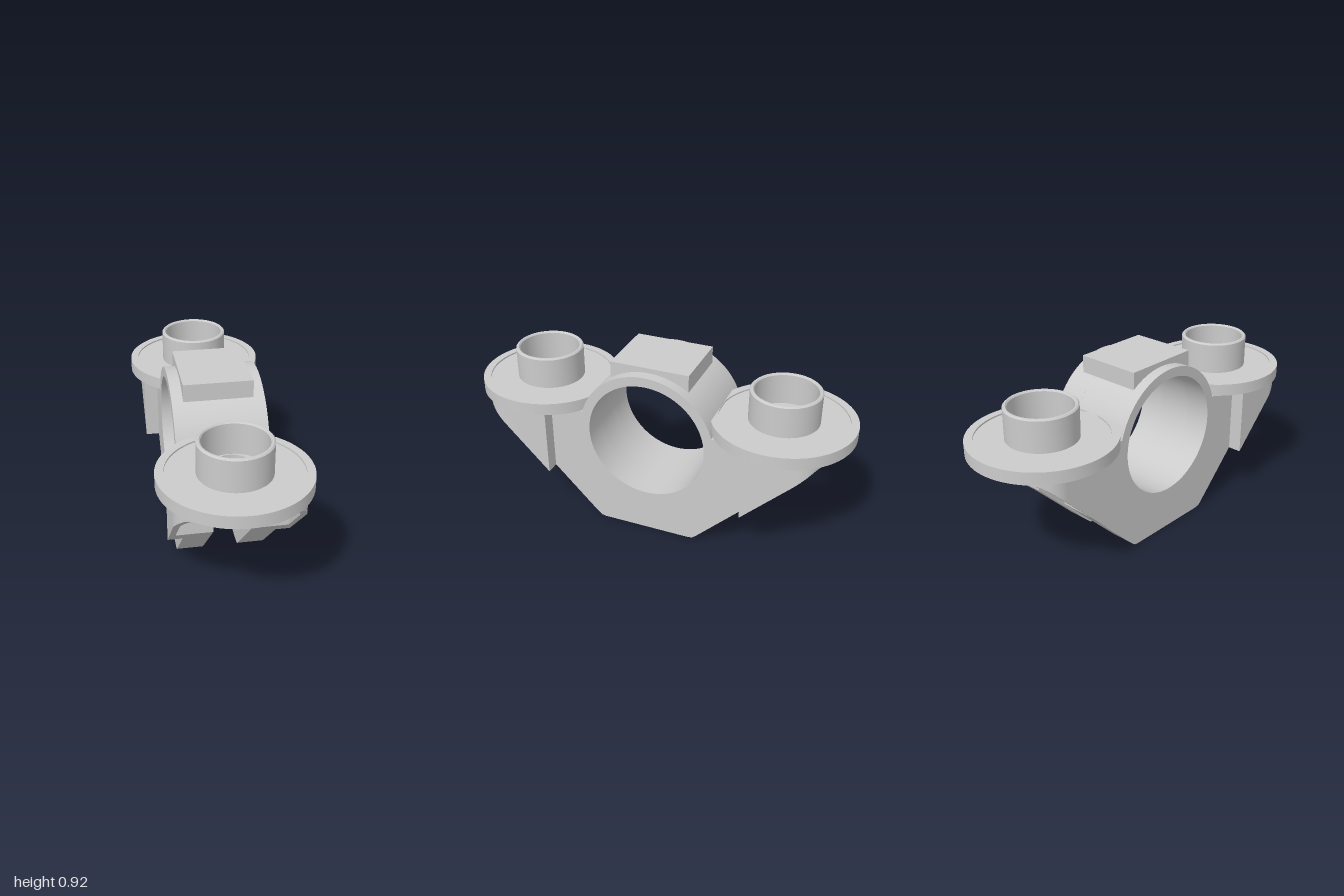
import * as THREE from 'three';
import { toCreasedNormals } from 'three/addons/utils/BufferGeometryUtils.js';

const material = new THREE.MeshStandardMaterial({ color: 0xcccccc });
const AXIS_Y = 0.535, RING = 0.36, BORE = 0.31, DECK = 0.635, PAD_Z = 0.64;

function part(name, geometry, parent) {
  const mesh = new THREE.Mesh(toCreasedNormals(geometry, 0.5), material);
  mesh.name = name;
  parent.add(mesh);
  return mesh;
}

// Side profile (z, y) extruded across x from x0 to x1
function across(shape, x0, x1) {
  const g = new THREE.ExtrudeGeometry(shape, { depth: x1 - x0, bevelEnabled: false, curveSegments: 48 });
  return g.rotateY(Math.PI / 2).translate(x0, 0, 0);
}

// Plan outline (x, z) extruded between heights y0 and y1
function upright(shape, y0, y1) {
  const g = new THREE.ExtrudeGeometry(shape, { depth: y1 - y0, bevelEnabled: false, curveSegments: 32 });
  return g.rotateX(Math.PI / 2).translate(0, y1, 0);
}

const circle = (r, y = 0) => new THREE.Path().absarc(0, y, r, 0, Math.PI * 2, true);

// Cheek plate: sloped foot below, ring outline above, bore through
function cheekShape() {
  const s = new THREE.Shape();
  const half = [[0.24, 0], [0.262, 0.005], [0.28, 0.02], [0.605, 0.345], [0.605, DECK]];
  s.moveTo(-0.24, 0);
  half.forEach(([z, y]) => s.lineTo(z, y));
  const a = Math.asin((DECK - AXIS_Y) / RING);
  s.absarc(0, AXIS_Y, RING, a, Math.PI - a, false);
  half.slice().reverse().forEach(([z, y]) => s.lineTo(-z, y));
  s.holes.push(circle(BORE, AXIS_Y));
  return s;
}

// Top pad whose underside follows the ring
function padShape() {
  const r = 0.345, w = 0.205, a = Math.acos(w / r);
  const s = new THREE.Shape();
  s.moveTo(w, 0.92);
  s.lineTo(-w, 0.92);
  s.absarc(0, AXIS_Y, r, Math.PI - a, a, true);
  return s;
}

// Shoulder and thin curved wall under a flange, cut off along the foot slope
function wallGeometry(side) {
  const plan = new THREE.Shape();
  plan.moveTo(0.2, 0.525);
  plan.lineTo(0.3, 0.525);
  plan.absarc(0.18, 0.77, 0.12, 0, Math.PI / 2, false);
  plan.lineTo(0.12, 0.89);
  plan.lineTo(0.12, 0.86);
  plan.absarc(0.18, 0.77, 0.09, Math.PI / 2, 0, true);
  plan.lineTo(0.27, 0.605);
  plan.lineTo(0.2, 0.605);
  const points = plan.getPoints(16).map((p) => new THREE.Vector2(p.x * side, p.y));
  const g = upright(new THREE.Shape(points), 0, DECK);
  const pos = g.attributes.position;
  for (let i = 0; i < pos.count; i++) {
    if (pos.getY(i) < 0.3) pos.setY(i, Math.min(pos.getZ(i) - 0.26, 0.61));
  }
  return g;
}

// Round flange outline with a chord where it meets the ring
function flangeShape() {
  const a = Math.asin(-0.325 / RING);
  return new THREE.Shape().absarc(0, 0, RING, a, Math.PI - a, false);
}

function slotHole() {
  const r = 0.088, d = 0.06, h = new THREE.Path();
  h.absarc(0, d, r, 0, Math.PI, false);
  h.absarc(0, -d, r, Math.PI, Math.PI * 2, false);
  return h;
}

function mountingEnd() {
  const end = new THREE.Group();

  // Flange plate with its slightly raised rim
  const plate = flangeShape();
  plate.holes.push(slotHole());
  part('flange', upright(plate, DECK, 0.69).translate(0, 0, PAD_Z), end);
  const rim = flangeShape();
  rim.holes.push(circle(0.32));
  part('flangeRim', upright(rim, 0.69, 0.698).translate(0, 0, PAD_Z), end);

  // Hollow collar around the slot
  const profile = [[0.176, 0.685], [0.176, 0.848], [0.169, 0.855], [0.161, 0.855], [0.155, 0.848], [0.155, 0.685]];
  const collar = new THREE.LatheGeometry(profile.map(([x, y]) => new THREE.Vector2(x, y)), 64);
  part('collar', collar.translate(0, 0, PAD_Z), end);

  part('leftWall', wallGeometry(1), end);
  part('rightWall', wallGeometry(-1), end);
  return end;
}

export function createModel() {
  const model = new THREE.Group();
  model.name = 'bearingBracket';

  // Two cheeks with the bearing ring between them
  part('leftCheek', across(cheekShape(), 0.092, 0.228), model);
  part('rightCheek', across(cheekShape(), -0.228, -0.092), model);
  const ring = new THREE.Shape().absarc(0, AXIS_Y, RING, 0, Math.PI * 2, false);
  ring.holes.push(circle(BORE, AXIS_Y));
  part('bearingRing', across(ring, -0.092, 0.092), model);
  part('topPad', across(padShape(), -0.172, 0.172), model);

  // Matching mounting ends, front and back
  ['frontMount', 'backMount'].forEach((name, i) => {
    const end = mountingEnd();
    end.name = name;
    end.rotation.y = i * Math.PI;
    model.add(end);
  });
  return model;
}
